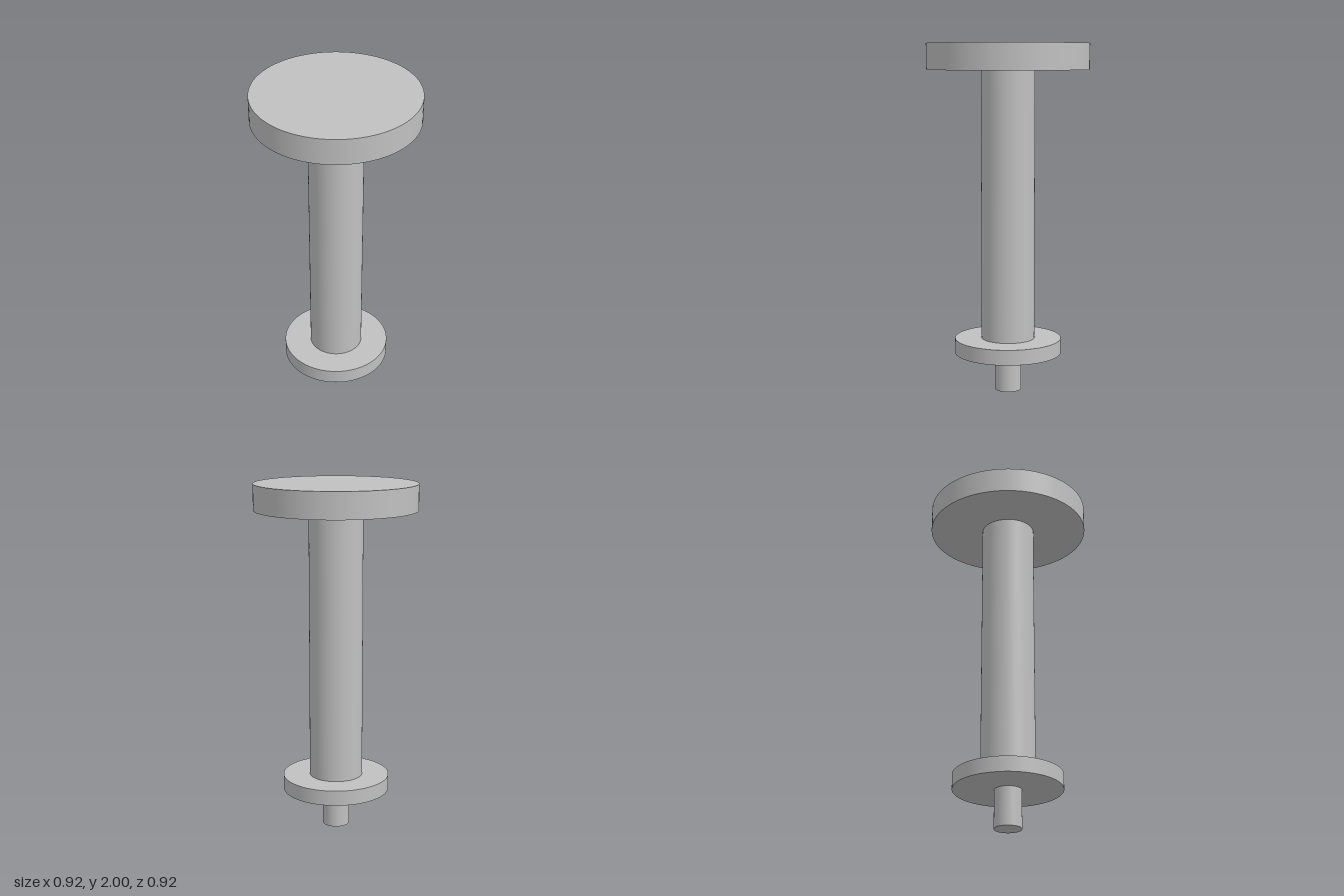
import * as THREE from 'three';

export function createModel() {
  const model = new THREE.Group();
  model.name = 'flangedPin';
  const metal = new THREE.MeshStandardMaterial({ color: 0xc0c0c0 });
  metal.name = 'light grey metal';

  // Upright cylinder between two heights
  function addCylinder(name, radius, bottom, top) {
    const geometry = new THREE.CylinderGeometry(radius, radius, top - bottom, 96);
    const mesh = new THREE.Mesh(geometry, metal);
    mesh.name = name;
    mesh.position.y = (bottom + top) / 2;
    model.add(mesh);
  }

  addCylinder('tipPin', 0.077, 0, 0.22);
  addCylinder('lowerFlange', 0.307, 0.22, 0.307);
  addCylinder('shaft', 0.153, 0.307, 1.852);
  addCylinder('headDisc', 0.461, 1.852, 2);

  return model;
}
